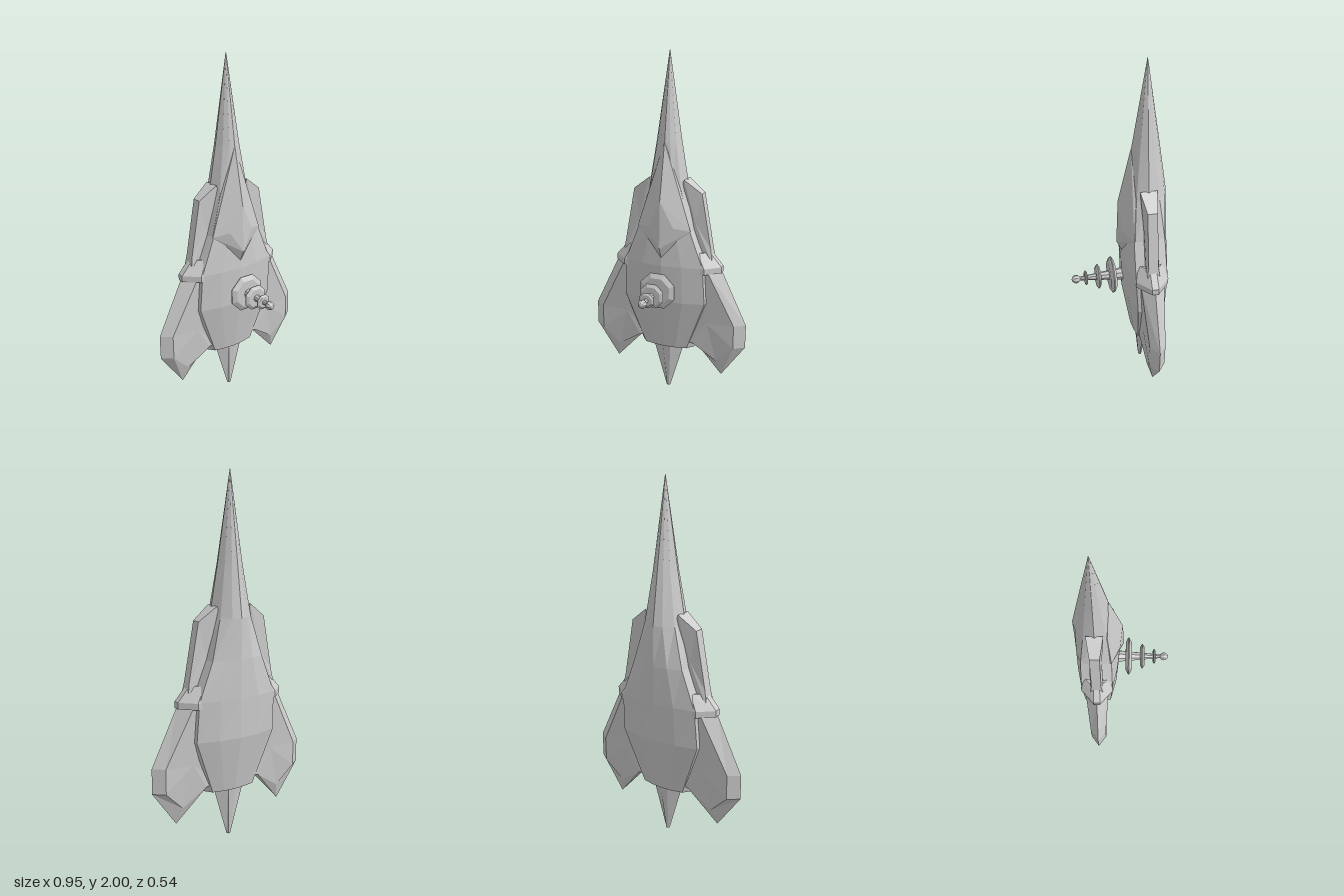
import * as THREE from 'three';
import { ConvexGeometry } from 'three/addons/geometries/ConvexGeometry.js';

const AXIS_Z = -0.145; // depth of the ship's long axis
const mat = new THREE.MeshStandardMaterial({ color: 0xcccccc, flatShading: true });

function mesh(name, geometry) {
  const m = new THREE.Mesh(geometry, mat);
  m.name = name;
  return m;
}

// Skin closed loops of [x, y, z] points and cap both ends
function loft(loops) {
  const n = loops[0].length, pos = loops.flat(2), idx = [];
  for (let r = 0; r < loops.length - 1; r++) {
    for (let i = 0; i < n; i++) {
      const a = r * n + i, b = r * n + (i + 1) % n;
      idx.push(a, b, b + n, a, b + n, a + n);
    }
  }
  [0, loops.length - 1].forEach((r, end) => {
    const c = pos.length / 3;
    for (let k = 0; k < 3; k++) pos.push(loops[r].reduce((s, p) => s + p[k], 0) / n);
    for (let i = 0; i < n; i++) {
      const a = r * n + i, b = r * n + (i + 1) % n;
      idx.push(c, end ? a : b, end ? b : a);
    }
  });
  const g = new THREE.BufferGeometry();
  g.setAttribute('position', new THREE.Float32BufferAttribute(pos, 3));
  g.setIndex(idx);
  const flat = g.toNonIndexed();
  flat.computeVertexNormals();
  return flat;
}

// Mirror half a section (front centre to back centre) into a full loop
function fullLoop(y, half) {
  const other = half.slice(1, -1).reverse().map(([x, z]) => [-x, z]);
  return [...half, ...other].map(([x, z]) => [x, y, AXIS_Z + z]);
}

function hull() {
  // height, front depth, corner x, corner depth, side x, back depth
  const sections = [
    [0.29, 0.065, 0.13, 0.045, 0.165, 0.065],
    [0.60, 0.12, 0.245, 0.075, 0.26, 0.12],
    [0.82, 0.127, 0.235, 0.088, 0.258, 0.122],
    [1.03, 0.115, 0.155, 0.085, 0.168, 0.122],
    [1.25, 0.10, 0.095, 0.062, 0.122, 0.12],
    [1.52, 0.074, 0.055, 0.04, 0.075, 0.078],
    [2.0, 0.001, 0.001, 0.001, 0.001, 0.001],
  ];
  return loft(sections.map(([y, f, cx, cz, s, b]) => fullLoop(y, [
    [0, f], [cx * 0.5, f * 0.7 + cz * 0.3], [cx, cz], [s, 0],
    [cx, -cz], [cx * 0.5, -b * 0.7 - cz * 0.3], [0, -b],
  ])));
}

function tail() {
  return loft([[0, 0.012, 0.006, 0.009], [0.34, 0.112, 0.028, 0.042]].map(([y, w, r, d]) =>
    fullLoop(y, [[0, d], [r, d], [w, 0], [r, -d], [0, -d]])));
}

function canopy() {
  const half = [[0, 1.52, -0.07], [0, 1.2, 0], [0.075, 1.05, -0.015], [0, 0.93, 0.007],
    [0, 0.87, -0.02], [0.16, 1.03, -0.06], [0.095, 1.25, -0.08], [0.14, 1.03, -0.1]];
  return new ConvexGeometry(half.flatMap(([x, y, z]) =>
    [new THREE.Vector3(x, y, z), new THREE.Vector3(-x, y, z)]));
}

// Wing, shoulder bracket and upper pod for the +x side
function side(name) {
  const g = new THREE.Group();
  g.name = name;

  // Raised panel [x, y, half thickness] inside a sharp edge [x, y]
  const panel = [[0.1, 0.34, 0.04], [0.17, 0.33, 0.045], [0.31, 0.235, 0.03], [0.415, 0.34, 0.045],
    [0.415, 0.48, 0.045], [0.26, 0.79, 0.065], [0.1, 0.8, 0.065]];
  const edge = [[0.1, 0.33], [0.165, 0.325], [0.335, 0.14], [0.475, 0.34],
    [0.475, 0.48], [0.325, 0.79], [0.1, 0.82]];
  g.add(mesh('wing', loft([
    panel.map(([x, y, h]) => [x, y, AXIS_Z - h]),
    edge.map(([x, y]) => [x, y, AXIS_Z]),
    panel.map(([x, y, h]) => [x, y, AXIS_Z + h]),
  ])));

  // Shoulder bracket
  const bracket = [[0.785, 0.325, 0.245, 0.09], [0.82, 0.325, 0.245, 0.09], [0.9, 0.255, 0.2, 0.07]];
  g.add(mesh('shoulderBracket', loft(bracket.map(([y, o, c, d]) =>
    [[0.05, d], [c, d], [o, 0.018], [o, -0.018], [c, -d], [0.05, -d]].map(([x, z]) => [x, y, AXIS_Z + z])))));

  // Pod with flared ends
  const pod = [[0.12, 0.9, 0.03], [0.275, 0.84, 0.038], [0.262, 0.92, 0.027],
    [0.205, 1.235, 0.027], [0.105, 1.31, 0.046], [0.05, 1.2, 0.03]];
  g.add(mesh('sidePod', loft([-1, 1].map(s => pod.map(([x, y, h]) => [x, y, AXIS_Z + s * h])))));
  return g;
}

// Forward antenna along +z: tapered rod, three bevelled rings, ball
function antenna() {
  const g = new THREE.Group();
  g.name = 'antenna';
  g.position.y = 0.69;
  const rod = mesh('antennaRod', new THREE.CylinderGeometry(0.01, 0.038, 0.28, 8));
  rod.rotation.x = Math.PI / 2;
  rod.position.z = 0.09;
  g.add(rod);
  for (const [z, r, t] of [[0.035, 0.111, 0.018], [0.116, 0.074, 0.013], [0.187, 0.045, 0.008]]) {
    const profile = [[0, -t], [r * 0.75, -t], [r, -t * 0.15], [r, t * 0.15], [r * 0.75, t], [0, t]];
    const ring = mesh('antennaRing', new THREE.LatheGeometry(profile.map(p => new THREE.Vector2(...p)), 8, Math.PI / 8));
    ring.rotation.x = Math.PI / 2;
    ring.position.z = z;
    g.add(ring);
  }
  const ball = mesh('antennaBall', new THREE.SphereGeometry(0.025, 8, 6));
  ball.rotation.x = Math.PI / 2;
  ball.position.z = 0.245;
  g.add(ball);
  return g;
}

export function createModel() {
  const ship = new THREE.Group();
  ship.name = 'spaceship';
  const left = side('leftSide'), right = side('rightSide');
  right.scale.x = -1;
  ship.add(mesh('hull', hull()), mesh('canopy', canopy()), mesh('tailSpike', tail()), left, right, antenna());
  return ship;
}
